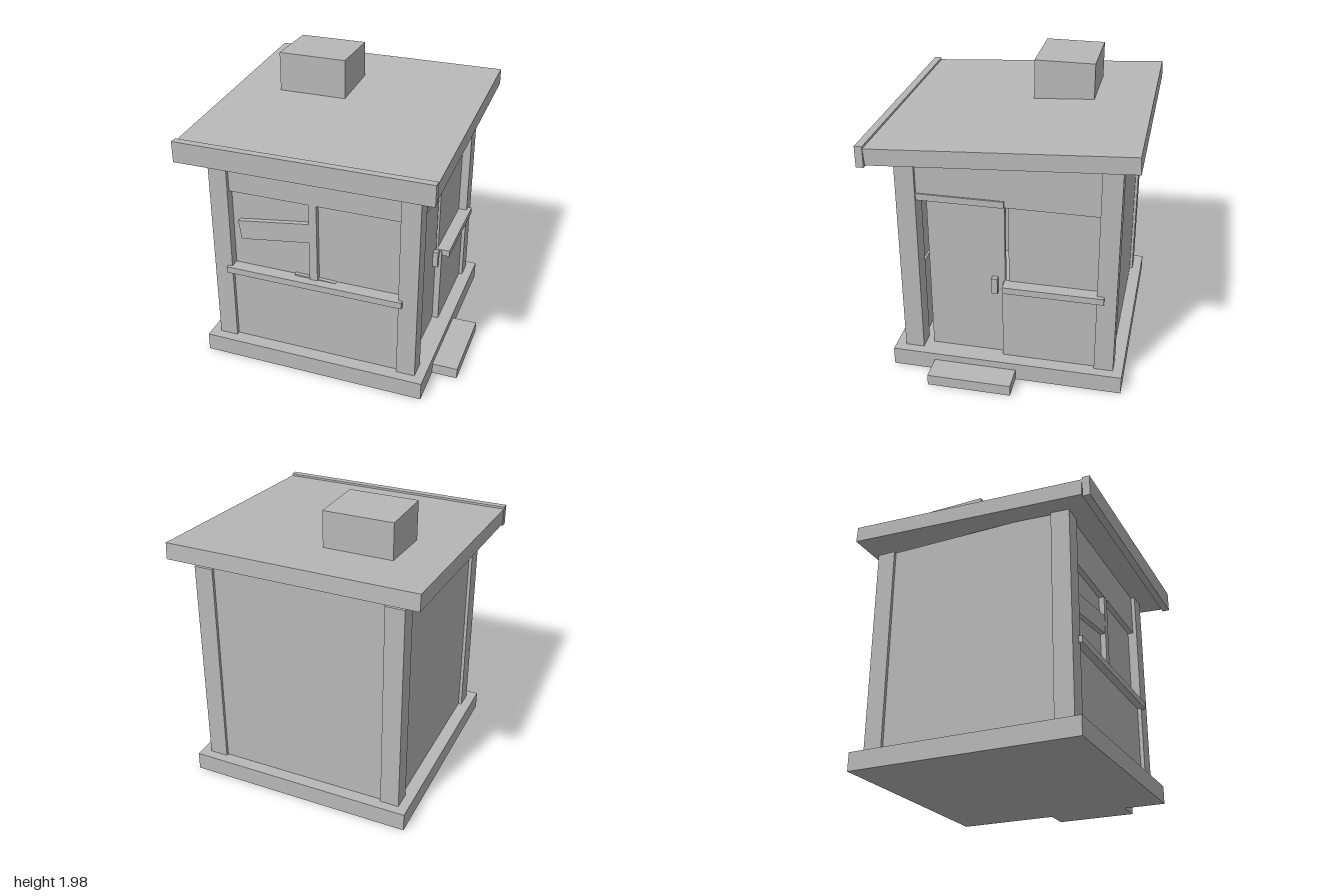
import * as THREE from 'three';

export function createModel() {
  const root = new THREE.Group();
  root.name = 'guardBooth';
  const booth = new THREE.Group();
  booth.name = 'booth';
  booth.rotation.y = -0.1745;
  root.add(booth);

  const grey = new THREE.MeshStandardMaterial({ color: 0xb8b8b8 });
  grey.name = 'plain grey';

  // Box given by its limits on each axis
  const block = (name, [x0, x1], [y0, y1], [z0, z1]) => {
    const mesh = new THREE.Mesh(new THREE.BoxGeometry(x1 - x0, y1 - y0, z1 - z0), grey);
    mesh.position.set((x0 + x1) / 2, (y0 + y1) / 2, (z0 + z1) / 2);
    mesh.name = name;
    booth.add(mesh);
    return mesh;
  };

  const FLOOR = 0.125, TOP = 1.575, SILL = 0.70, HEAD = 1.26;
  const X = 0.715, FRONT = 0.668, BACK = -0.765, POST = 0.128;
  const inX = X - POST, inFront = FRONT - POST, inBack = BACK + POST;

  // Base slab and door step
  block('base', [-0.78, 0.78], [0, FLOOR], [-0.829, 0.736]);
  block('doorStep', [0.77, 0.953], [0, 0.075], [-0.118, 0.446]);

  // Corner posts
  for (const [x0, x1] of [[-X, -inX], [inX, X]]) {
    block('frontPost', [x0, x1], [FLOOR, TOP], [inFront, FRONT]);
    block('backPost', [x0, x1], [FLOOR, TOP], [BACK, inBack]);
  }

  // Plain back and side walls
  block('backWall', [-inX, inX], [FLOOR, TOP], [BACK + 0.02, BACK + 0.07]);
  block('sideWall', [-X + 0.022, -X + 0.072], [FLOOR, TOP], [inBack, inFront]);

  // Front wall with window
  block('frontLowerWall', [-inX, inX], [FLOOR, SILL - 0.01], [0.57, 0.641]);
  block('frontHeader', [-inX, inX], [HEAD, TOP], [0.57, 0.641]);
  block('frontWindowPane', [-inX, inX], [SILL - 0.02, HEAD], [0.585, 0.603]);
  block('frontSill', [-0.615, 0.615], [0.655, SILL], [0.59, 0.693]);
  block('frontMullion', [-0.033, 0.021], [SILL, HEAD], [0.59, 0.64]);

  // Crooked board across the window, and a loose strip on the sill
  const board = block('crookedBoard', [-0.53, -0.01], [0.947, 1.083], [0.6, 0.638]);
  board.rotation.z = 0.14;
  const strip = block('looseStrip', [-0.145, 0.145], [0.695, 0.707], [0.604, 0.63]);
  strip.rotation.z = -0.03;

  // Door side: header, rail, sliding door and handle
  block('doorHeader', [0.635, 0.692], [HEAD, TOP], [inBack, inFront]);
  block('doorRail', [0.68, 0.703], [HEAD, 1.305], [-0.03, inFront]);
  block('door', [0.61, 0.647], [FLOOR, HEAD], [-0.023, 0.488]);
  block('doorHandle', [0.645, 0.683], [0.605, 0.72], [0.022, 0.062]);

  // Half wall, window pane and shelf beside the door
  block('halfWall', [0.635, 0.69], [FLOOR, SILL - 0.01], [inBack, -0.013]);
  block('sideWindowPane', [0.63, 0.655], [SILL - 0.02, HEAD], [inBack, -0.05]);
  block('sideShelf', [0.645, 0.743], [0.655, SILL], [-0.685, -0.022]);

  // Sloping roof, front fascia and roof unit
  const roof = block('roof', [-0.843, 0.843], [1.5935, 1.7035], [-0.871, 0.807]);
  roof.rotation.x = 0.0614;
  block('fascia', [-0.845, 0.845], [1.525, 1.666], [0.81, 0.86]);
  block('roofUnit', [-0.52, -0.05], [1.67, 1.975], [-0.477, -0.072]);

  return root;
}
